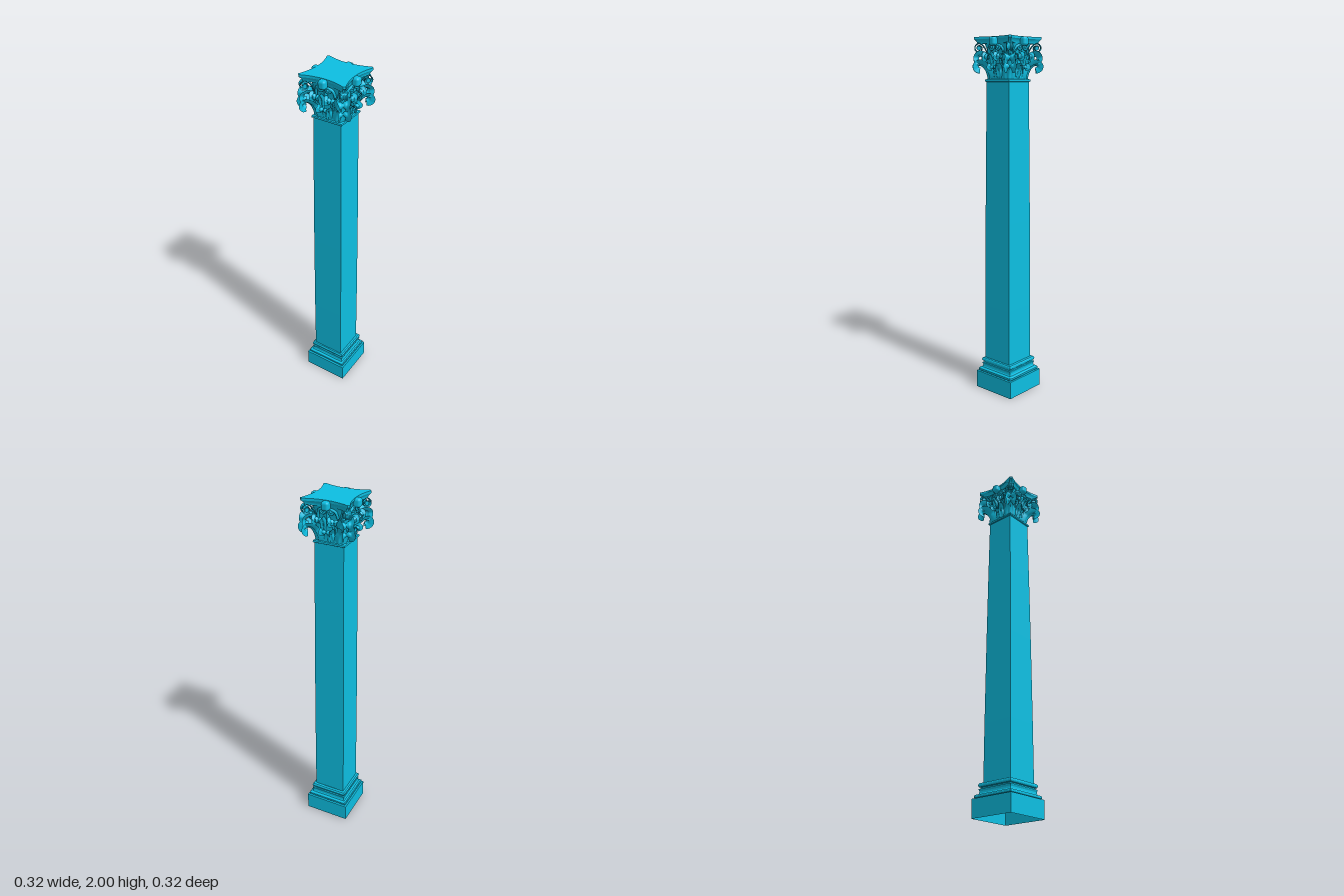
import * as THREE from 'three';
import { RoundedBoxGeometry } from 'three/addons/geometries/RoundedBoxGeometry.js';

const COLOR = 0x0dbfe2;
const smooth = new THREE.MeshStandardMaterial({ color: COLOR, side: THREE.DoubleSide });
const flat = new THREE.MeshStandardMaterial({ color: COLOR, side: THREE.DoubleSide, flatShading: true });

function add(parent, name, geometry, material, x = 0, y = 0, z = 0) {
  const mesh = new THREE.Mesh(geometry, material);
  mesh.name = name;
  mesh.position.set(x, y, z);
  parent.add(mesh);
  return mesh;
}

// Square moulding from [half width, height] pairs
function squareLoft(profile) {
  const points = profile.map(([half, y]) => new THREE.Vector2(half * Math.SQRT2, y));
  return new THREE.LatheGeometry(points, 4).rotateY(Math.PI / 4);
}

// Bell of the capital: a lathe squared off into a rounded square
function bellGeometry() {
  const profile = [[0.08, 1.775], [0.078, 1.83], [0.08, 1.89], [0.087, 1.93], [0.1, 1.97]];
  const geo = new THREE.LatheGeometry(profile.map(([r, y]) => new THREE.Vector2(r, y)), 48);
  const p = geo.attributes.position;
  for (let i = 0; i < p.count; i++) {
    const x = p.getX(i), z = p.getZ(i), r = Math.hypot(x, z);
    const k = Math.pow(Math.abs(x / r) ** 6 + Math.abs(z / r) ** 6, -1 / 6);
    p.setX(i, x * k);
    p.setZ(i, z * k);
  }
  geo.computeVertexNormals();
  return geo;
}

// Strip swept along an [outward, up] path, with lobed edges and a raised midrib
function leafGeometry(path, halfWidth, { lobes = 3, wrap = 0.01, rib = 0.004, tip = 0.45 } = {}) {
  const curve = new THREE.CatmullRomCurve3(path.map(([r, y]) => new THREE.Vector3(0, y, r)));
  const geo = new THREE.PlaneGeometry(2, 1, 14, 36);
  const p = geo.attributes.position;
  for (let i = 0; i < p.count; i++) {
    const u = p.getX(i), t = p.getY(i) + 0.5;
    const c = curve.getPoint(t), d = curve.getTangent(t);
    const taper = t < 0.6 ? 1 : 1 - (1 - tip) * ((t - 0.6) / 0.4) ** 2;
    const lobe = lobes ? 0.76 + 0.24 * Math.abs(Math.sin(Math.PI * lobes * t + 0.5)) : 1;
    // offset along the strip's own normal
    const n = rib * Math.cos(3 * Math.PI * u) * (1 - t * 0.3) - wrap * u * u;
    p.setXYZ(i, u * halfWidth * taper * lobe, c.y - d.z * n, c.z + d.y * n);
  }
  geo.computeVertexNormals();
  return geo;
}

// Leaf path that climbs, leans out and curls over
const curl = (h, out) => [[-0.004, 0], [0.004, h * 0.45], [out * 0.35, h * 0.8], [out * 0.75, h],
  [out, h * 0.95], [out * 0.98, h * 0.84], [out * 0.78, h * 0.82]];

// Concave-sided slab whose edge narrows downward
function abacusGeometry(height) {
  const a = 0.133, b = 0.123, c = 0.081;
  const s = new THREE.Shape();
  s.moveTo(b, a);
  s.quadraticCurveTo(0, c, -b, a);
  s.lineTo(-a, b);
  s.quadraticCurveTo(-c, 0, -a, -b);
  s.lineTo(-b, -a);
  s.quadraticCurveTo(0, c * -1, b, -a);
  s.lineTo(a, -b);
  s.quadraticCurveTo(c, 0, a, b);
  const geo = new THREE.ExtrudeGeometry(s, { depth: height, bevelEnabled: false, steps: 6, curveSegments: 20 });
  geo.rotateX(-Math.PI / 2);
  const p = geo.attributes.position;
  for (let i = 0; i < p.count; i++) {
    const t = p.getY(i) / height;
    const k = t > 0.6 ? 1 : 0.9 + 0.08 * (t / 0.6) ** 2;
    p.setX(i, p.getX(i) * k);
    p.setZ(i, p.getZ(i) * k);
  }
  geo.computeVertexNormals();
  return geo;
}

export function createModel() {
  const model = new THREE.Group();
  model.name = 'pilasterColumn';

  // Plinth, open underneath, with stepped mouldings
  const base = new THREE.Group();
  base.name = 'base';
  base.position.z = -0.004;
  model.add(base);
  add(base, 'plinth', squareLoft([[0.131, 0], [0.131, 0.1], [0.09, 0.1]]), flat);
  add(base, 'baseMouldings', squareLoft([
    [0.119, 0.1], [0.123, 0.105], [0.123, 0.115], [0.119, 0.12], [0.109, 0.122], [0.105, 0.128], [0.104, 0.138],
    [0.107, 0.146], [0.107, 0.15], [0.1, 0.152], [0.1, 0.157], [0.106, 0.16], [0.109, 0.167], [0.108, 0.175],
    [0.104, 0.18], [0.09, 0.181],
  ]), flat);
  add(base, 'plinthCeiling', new THREE.PlaneGeometry(0.26, 0.26).rotateX(Math.PI / 2), flat, 0, 0.099, 0);

  // Tapering square shaft with a neck fillet
  add(model, 'shaft', squareLoft([[0.0925, 0.18], [0.0915, 0.5], [0.0885, 1.0], [0.085, 1.4], [0.081, 1.768]]), flat);
  add(model, 'neckMoulding', squareLoft([[0.081, 1.764], [0.087, 1.767], [0.088, 1.772], [0.087, 1.777], [0.078, 1.78]]), flat);

  // Capital
  const capital = new THREE.Group();
  capital.name = 'capital';
  model.add(capital);
  add(capital, 'bell', bellGeometry(), smooth);
  add(capital, 'abacus', abacusGeometry(0.036), flat, 0, 1.964, 0);

  const lowerLeaf = leafGeometry(curl(0.072, 0.036), 0.036);
  const cornerLeaf = leafGeometry(curl(0.076, 0.052), 0.036, { wrap: 0.026 });
  const upperLeaf = leafGeometry(curl(0.132, 0.04), 0.03, { lobes: 4 });
  const upperCornerLeaf = leafGeometry(curl(0.125, 0.054), 0.034, { lobes: 4, wrap: 0.024 });
  // Corner scroll: a stalk that rolls into a spiral below the abacus corner
  const scrollPath = [[0.095, 1.86], [0.108, 1.905], [0.128, 1.945], [0.15, 1.964]];
  for (let i = 0; i <= 12; i++) {
    const a = Math.PI / 2 - 0.3 - i * 0.75, r = 0.023 - i * 0.0015;
    scrollPath.push([0.155 + Math.cos(a) * r, 1.941 + Math.sin(a) * r]);
  }
  const cornerScroll = leafGeometry(scrollPath, 0.017, { lobes: 0, wrap: 0.003, rib: 0.002, tip: 0.8 });
  const helix = new THREE.TorusGeometry(0.012, 0.006, 8, 20);
  const stalkCurve = new THREE.CatmullRomCurve3([
    new THREE.Vector3(0.058, 1.87, 0.082), new THREE.Vector3(0.055, 1.91, 0.09),
    new THREE.Vector3(0.045, 1.945, 0.1), new THREE.Vector3(0.028, 1.956, 0.105)]);
  const stalk = new THREE.TubeGeometry(stalkCurve, 16, 0.007, 8);
  const mirroredStalk = new THREE.TubeGeometry(new THREE.CatmullRomCurve3(
    stalkCurve.points.map((v) => new THREE.Vector3(-v.x, v.y, v.z))), 16, 0.007, 8);

  for (let i = 0; i < 4; i++) {
    // Face ornaments
    const face = new THREE.Group();
    face.name = 'capitalFace';
    face.rotation.y = i * Math.PI / 2;
    capital.add(face);
    add(face, 'lowerLeaf', lowerLeaf, smooth, 0, 1.776, 0.083);
    for (const side of [-1, 1]) {
      add(face, 'upperLeaf', upperLeaf, smooth, side * 0.039, 1.776, 0.079).rotation.y = side * 0.1;
      add(face, 'helixStalk', side > 0 ? stalk : mirroredStalk, smooth);
      add(face, 'helix', helix, smooth, side * 0.022, 1.944, 0.103);
      add(face, 'helixEye', new THREE.SphereGeometry(0.008, 10, 8), smooth, side * 0.022, 1.944, 0.104);
    }
    add(face, 'flowerStem', new THREE.CapsuleGeometry(0.008, 0.06, 4, 10), smooth, 0, 1.91, 0.09);
    add(face, 'flower', new RoundedBoxGeometry(0.041, 0.046, 0.04, 4, 0.013), smooth, 0, 1.975, 0.115);

    // Corner ornaments
    const corner = new THREE.Group();
    corner.name = 'capitalCorner';
    corner.rotation.y = Math.PI / 4 + i * Math.PI / 2;
    capital.add(corner);
    add(corner, 'cornerLeaf', cornerLeaf, smooth, 0, 1.776, 0.108);
    add(corner, 'upperCornerLeaf', upperCornerLeaf, smooth, 0, 1.776, 0.103);
    add(corner, 'cornerScroll', cornerScroll, smooth);
    add(corner, 'scrollEye', new THREE.CylinderGeometry(0.011, 0.011, 0.036, 14).rotateZ(Math.PI / 2), smooth, 0, 1.941, 0.155);
  }
  return model;
}
